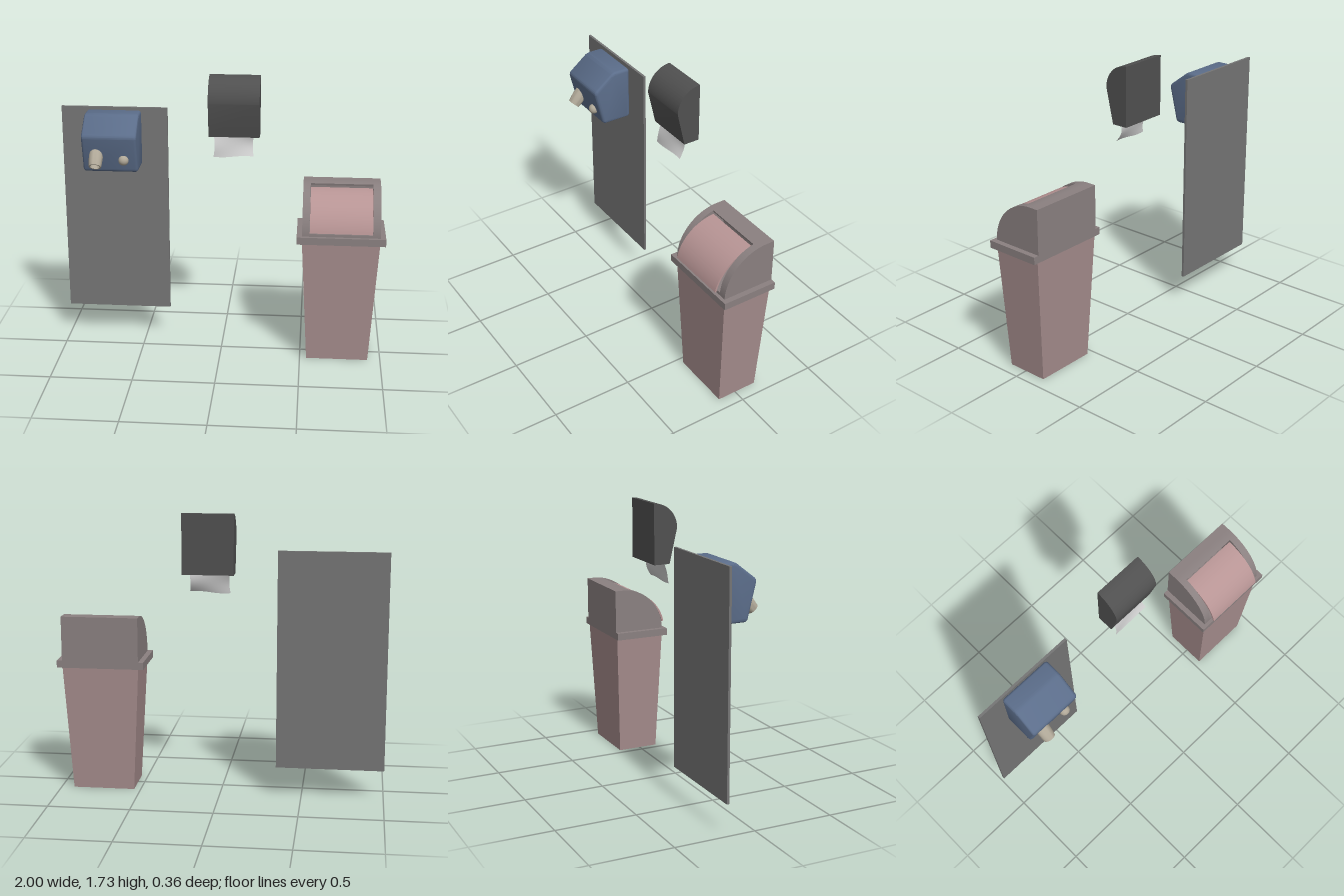
import * as THREE from 'three';
import { toCreasedNormals } from 'three/addons/utils/BufferGeometryUtils.js';

const mat = (color, side = THREE.FrontSide) => new THREE.MeshStandardMaterial({ color, side });

function add(parent, name, geometry, material) {
  const mesh = new THREE.Mesh(geometry, material);
  mesh.name = name;
  parent.add(mesh);
  return mesh;
}

// Box given by its minimum and maximum on each axis
function box(x0, x1, y0, y1, z0, z1) {
  return new THREE.BoxGeometry(x1 - x0, y1 - y0, z1 - z0)
    .translate((x0 + x1) / 2, (y0 + y1) / 2, (z0 + z1) / 2);
}

// Side profile drawn in (z, y), extruded across x0..x1
function across(shape, x0, x1, bevel = 0) {
  const g = new THREE.ExtrudeGeometry(shape, {
    depth: x1 - x0 - 2 * bevel, curveSegments: 24, bevelEnabled: bevel > 0,
    bevelSize: bevel, bevelThickness: bevel, bevelOffset: -bevel, bevelSegments: 4,
  });
  g.rotateY(-Math.PI / 2).translate(x1 - bevel, 0, 0);
  return toCreasedNormals(g, 0.6);
}

// Curved strip between two radii and two angles (degrees)
function arcStrip(cz, cy, r0, r1, a0, a1) {
  const s = new THREE.Shape();
  const [p, q] = [a0, a1].map(THREE.MathUtils.degToRad);
  s.absarc(cz, cy, r1, p, q, false);
  s.absarc(cz, cy, r0, q, p, true);
  s.closePath();
  return s;
}

// Polygon with rounded corners
function roundedPolygon(pts, r) {
  const s = new THREE.Shape();
  const v = pts.map(p => new THREE.Vector2(...p));
  v.forEach((c, i) => {
    const toward = o => o.clone().sub(c).setLength(r).add(c);
    const a = toward(v[(i + v.length - 1) % v.length]);
    const b = toward(v[(i + 1) % v.length]);
    if (i === 0) s.moveTo(a.x, a.y); else s.lineTo(a.x, a.y);
    s.quadraticCurveTo(c.x, c.y, b.x, b.y);
  });
  s.closePath();
  return s;
}

function makeHandDryer() {
  const g = new THREE.Group();
  g.name = 'handDryer';
  const metal = mat(0xb0a898, THREE.DoubleSide);

  const profile = roundedPolygon(
    [[-0.165, 1.16], [0.028, 1.16], [0.086, 1.395], [-0.052, 1.502], [-0.165, 1.502]], 0.022);
  add(g, 'dryerHousing', across(profile, -0.84, -0.505, 0.018), mat(0x5b6d8a));

  // Hollow nozzle pointing forward and down
  const nozzlePts = [[0, 0], [0.041, 0], [0.042, 0.04], [0.04, 0.075], [0.037, 0.1],
    [0.03, 0.1], [0.028, 0.06], [0, 0.06]].map(p => new THREE.Vector2(...p));
  const nozzle = add(g, 'dryerNozzle',
    toCreasedNormals(new THREE.LatheGeometry(nozzlePts, 28), 0.6), metal);
  nozzle.position.set(-0.755, 1.288, 0.034);
  nozzle.quaternion.setFromUnitVectors(
    new THREE.Vector3(0, 1, 0), new THREE.Vector3(0, -0.75, 0.66).normalize());

  // Push button
  const button = add(g, 'dryerButton', new THREE.SphereGeometry(0.031, 24, 16), metal);
  button.scale.z = 0.95;
  button.position.set(-0.588, 1.243, 0.053);
  return g;
}

function makeTowelDispenser() {
  const g = new THREE.Group();
  g.name = 'towelDispenser';
  const s = new THREE.Shape();
  s.moveTo(-0.18, 1.365);
  s.lineTo(-0.08, 1.365);
  s.lineTo(-0.03, 1.58);
  s.absarc(-0.18, 1.58, 0.15, 0, Math.PI / 2, false);
  s.closePath();
  add(g, 'dispenserHousing', across(s, -0.085, 0.225), mat(0x505050));

  // Hanging paper sheet, curling forward, with unequal edges
  const paper = new THREE.PlaneGeometry(0.245, 0.13, 12, 12);
  const p = paper.attributes.position;
  for (let i = 0; i < p.count; i++) {
    const u = p.getX(i) / 0.245 + 0.5;
    const t = 0.5 - p.getY(i) / 0.13;
    const bow = Math.sin(Math.PI * t);
    const x = 0.0675 + (u - 0.5) * (0.245 - 0.014 * bow);
    const y = 1.372 - t * (0.127 + 0.006 * Math.sin(u * 5 - 2.5) * -1);
    const z = -0.103 + 0.03 * t * t + bow * (0.016 - 0.028 * u);
    p.setXYZ(i, x, y, z);
  }
  paper.computeVertexNormals();
  add(g, 'paperTowel', paper, mat(0xcccccc, THREE.DoubleSide));
  return g;
}

function makeBin() {
  const g = new THREE.Group();
  g.name = 'bin';
  const pink = mat(0xa58c8c), lidMat = mat(0x8a8080), flapMat = mat(0xb89595);
  const x0 = 0.497, x1 = 0.967;

  // Tapered container: the bottom corners are drawn in
  const body = box(x0, x1, 0, 0.79, -0.172, 0.147);
  const p = body.attributes.position;
  for (let i = 0; i < p.count; i++) {
    if (p.getY(i) > 0.1) continue;
    p.setX(i, p.getX(i) < 0.73 ? 0.541 : 0.921);
    p.setZ(i, p.getZ(i) < 0 ? -0.142 : 0.118);
  }
  add(g, 'binBody', toCreasedNormals(body, 0.3), pink);
  add(g, 'binRim', box(0.465, 1, 0.777, 0.822, -0.18, 0.168), lidMat);

  // Lid: end walls, back wall and a curved frame round the opening
  const cz = -0.128, cy = 0.82, r = 0.275, h0 = 0.541, h1 = 0.921;
  const wall = new THREE.Shape();
  wall.moveTo(-0.18, cy);
  wall.lineTo(cz + r, cy);
  wall.absarc(cz, cy, r, 0, Math.PI / 2, false);
  wall.lineTo(-0.18, cy + r);
  wall.closePath();
  for (const [a, b] of [[x0, x0 + 0.018], [x1 - 0.018, x1]]) {
    add(g, 'lidEndWall', across(wall, a, b), lidMat);
  }
  add(g, 'lidBackWall', box(x0 + 0.018, x1 - 0.018, cy, cy + r, -0.18, -0.168), lidMat);
  add(g, 'lidTop', box(x0 + 0.018, x1 - 0.018, cy + r - 0.012, cy + r, -0.168, cz), lidMat);
  for (const [a, b] of [[x0 + 0.018, h0], [h1, x1 - 0.018]]) {
    add(g, 'lidSideFrame', across(arcStrip(cz, cy, r - 0.012, r, 0, 90), a, b), lidMat);
  }
  for (const [a, b] of [[0, 4], [78, 90]]) {
    add(g, 'lidCrossFrame', across(arcStrip(cz, cy, r - 0.012, r, a, b), h0, h1), lidMat);
  }

  // Swing flap, tilted so that its lower edge stands out
  add(g, 'swingFlap',
    across(arcStrip(-0.08, 0.8, 0.255, 0.266, 12, 88), h0 + 0.002, h1 - 0.002), flapMat);
  return g;
}

export function createModel() {
  const model = new THREE.Group();
  model.name = 'washroomSet';
  add(model, 'wallPanel', box(-1, -0.345, 0.19, 1.517, -0.18, -0.165), mat(0x757575));
  model.add(makeHandDryer(), makeTowelDispenser(), makeBin());
  return model;
}
